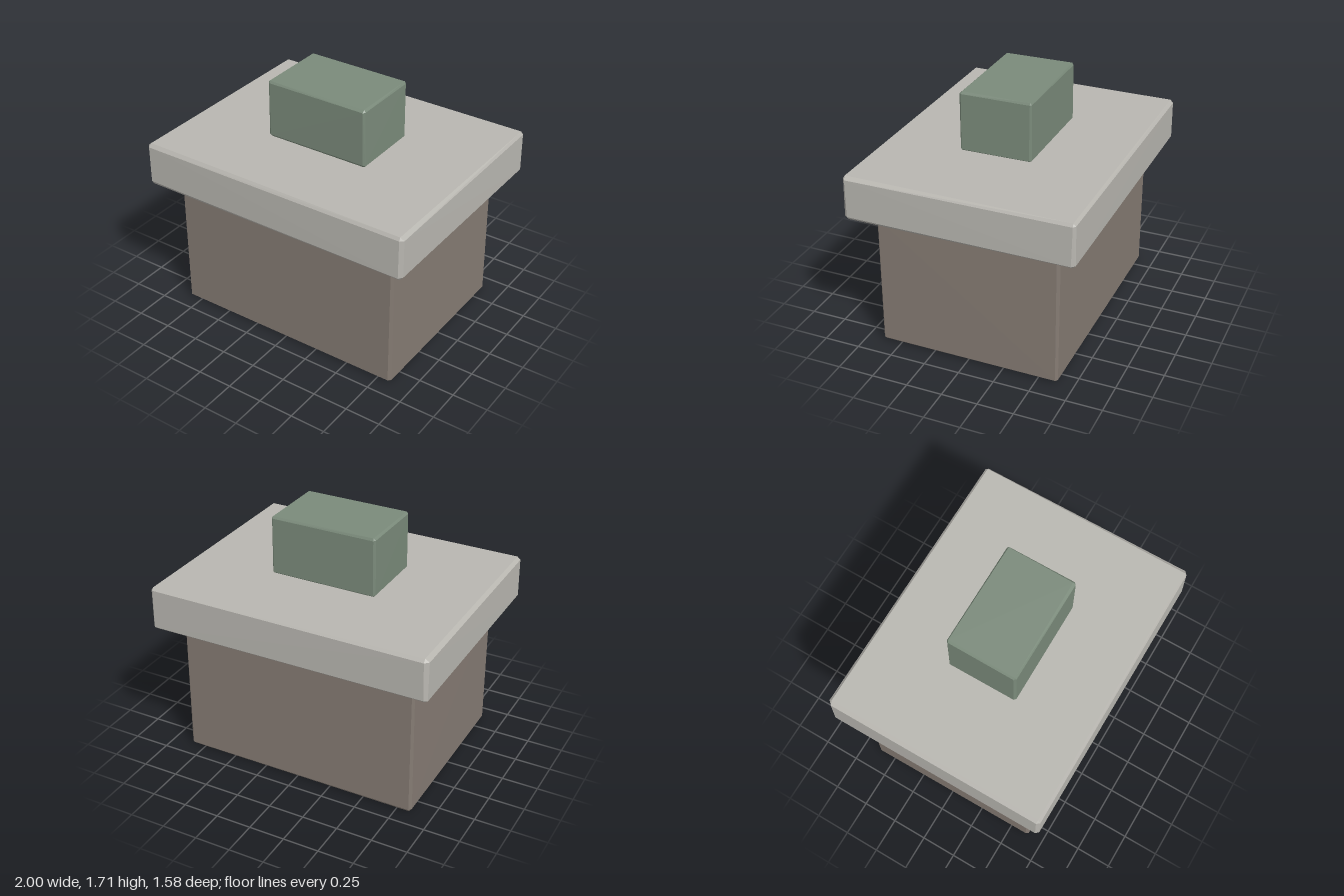
import * as THREE from 'three';
import { ConvexGeometry } from 'three/addons/geometries/ConvexGeometry.js';

// Small seeded generator for the slightly uneven stone edges
function seeded(seed) {
  let s = seed;
  return () => (s = (s * 16807) % 2147483647) / 2147483647;
}

// Box with bevelled, subtly irregular edges: three points at each corner
function stoneBlock(width, height, depth, bevel, seed) {
  const random = seeded(seed);
  const half = [width / 2, height / 2, depth / 2];
  const points = [];
  for (const sx of [-1, 1]) for (const sy of [-1, 1]) for (const sz of [-1, 1]) {
    const signs = [sx, sy, sz];
    for (let face = 0; face < 3; face++) {
      const p = signs.map((s, axis) => {
        const inset = axis === face ? random() * 0.006 : bevel * (0.8 + random() * 0.4);
        return s * (half[axis] - inset);
      });
      points.push(new THREE.Vector3(...p));
    }
  }
  return new ConvexGeometry(points);
}

function material(name, color) {
  const m = new THREE.MeshStandardMaterial({ color });
  m.name = name;
  return m;
}

export function createModel() {
  const group = new THREE.Group();
  group.name = 'stonePedestal';

  // name, material, width, depth, bottom, top, bevel
  const parts = [
    ['base', material('brown stone', 0x857b73), 1.71, 1.28, 0, 0.965, 0.02],
    ['slab', material('pale stone', 0xb8b6b0), 2.0, 1.58, 0.972, 1.29, 0.024],
    ['topBlock', material('green stone', 0x7a8a7a), 0.765, 0.51, 1.292, 1.712, 0.017],
  ];
  parts.forEach(([name, mat, w, d, bottom, top, bevel], i) => {
    const mesh = new THREE.Mesh(stoneBlock(w, top - bottom, d, bevel, 4211 + i * 977), mat);
    mesh.name = name;
    mesh.position.y = (bottom + top) / 2;
    group.add(mesh);
  });
  return group;
}
